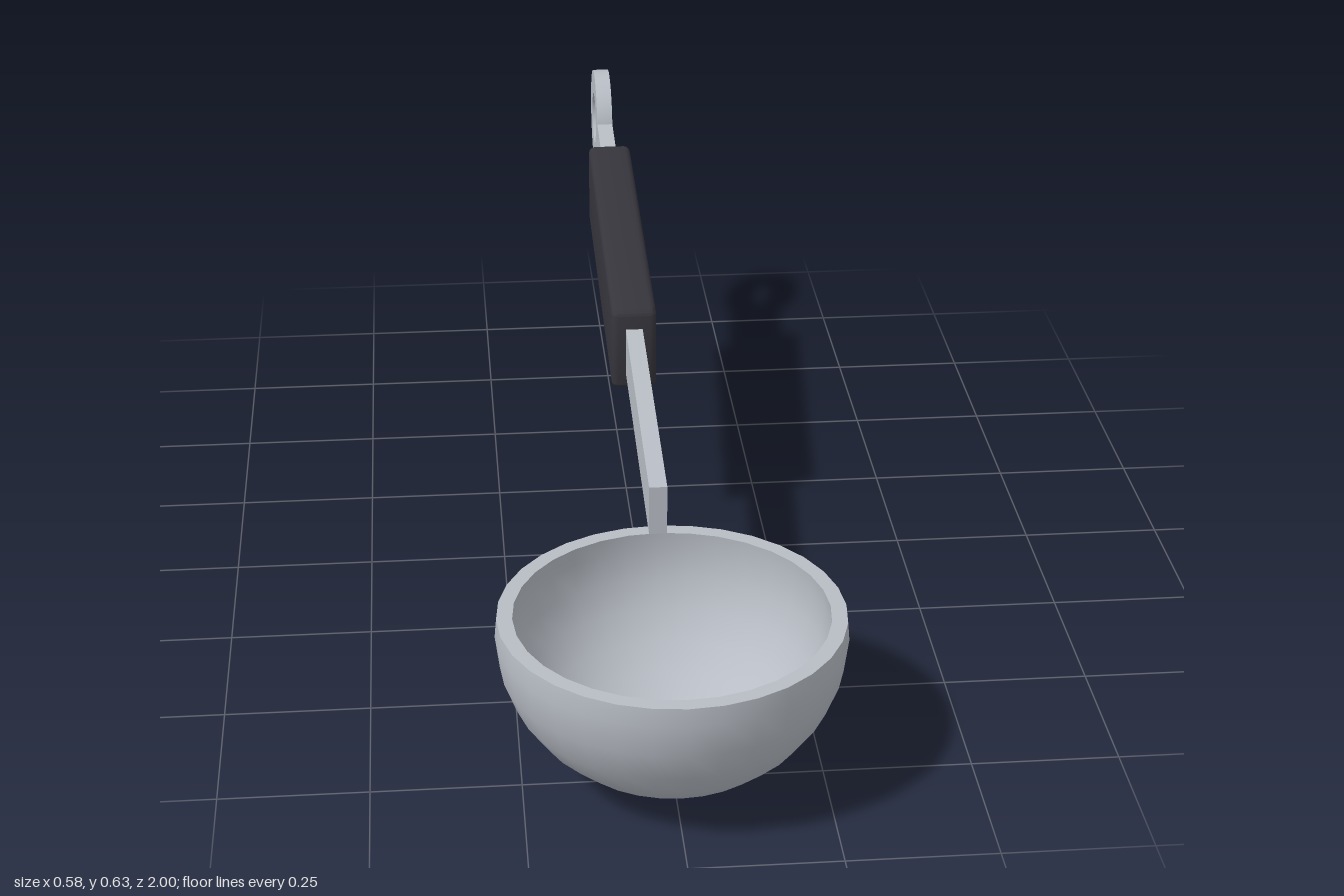
import * as THREE from 'three';
import { toCreasedNormals } from 'three/addons/utils/BufferGeometryUtils.js';

const metal = new THREE.MeshStandardMaterial({ color: 0xb8bdc5 });
metal.name = 'brushed metal';
const grip = new THREE.MeshStandardMaterial({ color: 0x36353c });
grip.name = 'dark grip';

// Extrudes a side profile, drawn as (-z, y), to a width centred on x = 0
function sideExtrude(shape, width, bevel = 0) {
  const geo = new THREE.ExtrudeGeometry(shape, {
    depth: width - 2 * bevel,
    curveSegments: 16,
    bevelEnabled: bevel > 0,
    bevelSize: bevel,
    bevelOffset: -bevel,
    bevelThickness: bevel,
    bevelSegments: 3,
  });
  geo.translate(0, 0, -(width - 2 * bevel) / 2);
  geo.rotateY(Math.PI / 2);
  return toCreasedNormals(geo, 0.6);
}

// Polygon with softened corners
function roundedShape(points, r) {
  const p = points.map(([x, y]) => new THREE.Vector2(x, y));
  const shape = new THREE.Shape();
  p.forEach((c, i) => {
    const prev = p[(i + p.length - 1) % p.length];
    const next = p[(i + 1) % p.length];
    const a = c.clone().add(prev.clone().sub(c).setLength(r));
    const b = c.clone().add(next.clone().sub(c).setLength(r));
    if (i === 0) shape.moveTo(a.x, a.y);
    else shape.lineTo(a.x, a.y);
    shape.quadraticCurveTo(c.x, c.y, b.x, b.y);
  });
  shape.closePath();
  return shape;
}

// Bowl wall from pole to rim, cut level just above its widest ring
function bowlArc(radius, bottom, rimRadius) {
  const pts = [];
  const centre = 0.265;
  for (let i = 0; i <= 7; i++) {
    const a = (i / 7) * Math.PI / 2;
    pts.push(new THREE.Vector2(radius * Math.sin(a), centre - (centre - bottom) * Math.cos(a)));
  }
  pts.push(new THREE.Vector2(rimRadius, 0.297));
  return pts;
}

export function createModel() {
  const model = new THREE.Group();
  model.name = 'ladle';
  const add = (name, geo, material) => {
    const mesh = new THREE.Mesh(geo, material);
    mesh.name = name;
    model.add(mesh);
    return mesh;
  };

  // Bowl: outer wall, flat rim, inner wall
  const profile = [...bowlArc(0.288, 0, 0.285), ...bowlArc(0.262, 0.025, 0.259).reverse()];
  const bowl = add('bowl', toCreasedNormals(new THREE.LatheGeometry(profile, 32), 0.6), metal);
  bowl.position.z = 0.712;

  // Flat bar, deeper behind the grip than in front of it
  const bar = new THREE.Shape([
    [-0.455, 0.297], [0.06, 0.354], [0.6, 0.396], [0.835, 0.433],
    [0.835, 0.558], [0.6, 0.524], [0.06, 0.445], [-0.455, 0.387],
  ].map(([x, y]) => new THREE.Vector2(x, y)));
  add('handleBar', sideExtrude(bar, 0.031), metal);

  // Grip sleeve
  const sleeve = roundedShape([[0.047, 0.32], [0.685, 0.395], [0.685, 0.557], [0.047, 0.48]], 0.018);
  add('grip', sideExtrude(sleeve, 0.083, 0.012), grip);

  // Hanging ring
  const ring = new THREE.Shape();
  ring.absarc(0.9, 0.531, 0.1, 0, Math.PI * 2);
  const hole = new THREE.Path();
  hole.absarc(0.9, 0.531, 0.052, 0, Math.PI * 2, true);
  ring.holes.push(hole);
  add('hangingRing', sideExtrude(ring, 0.0312), metal);

  return model;
}
